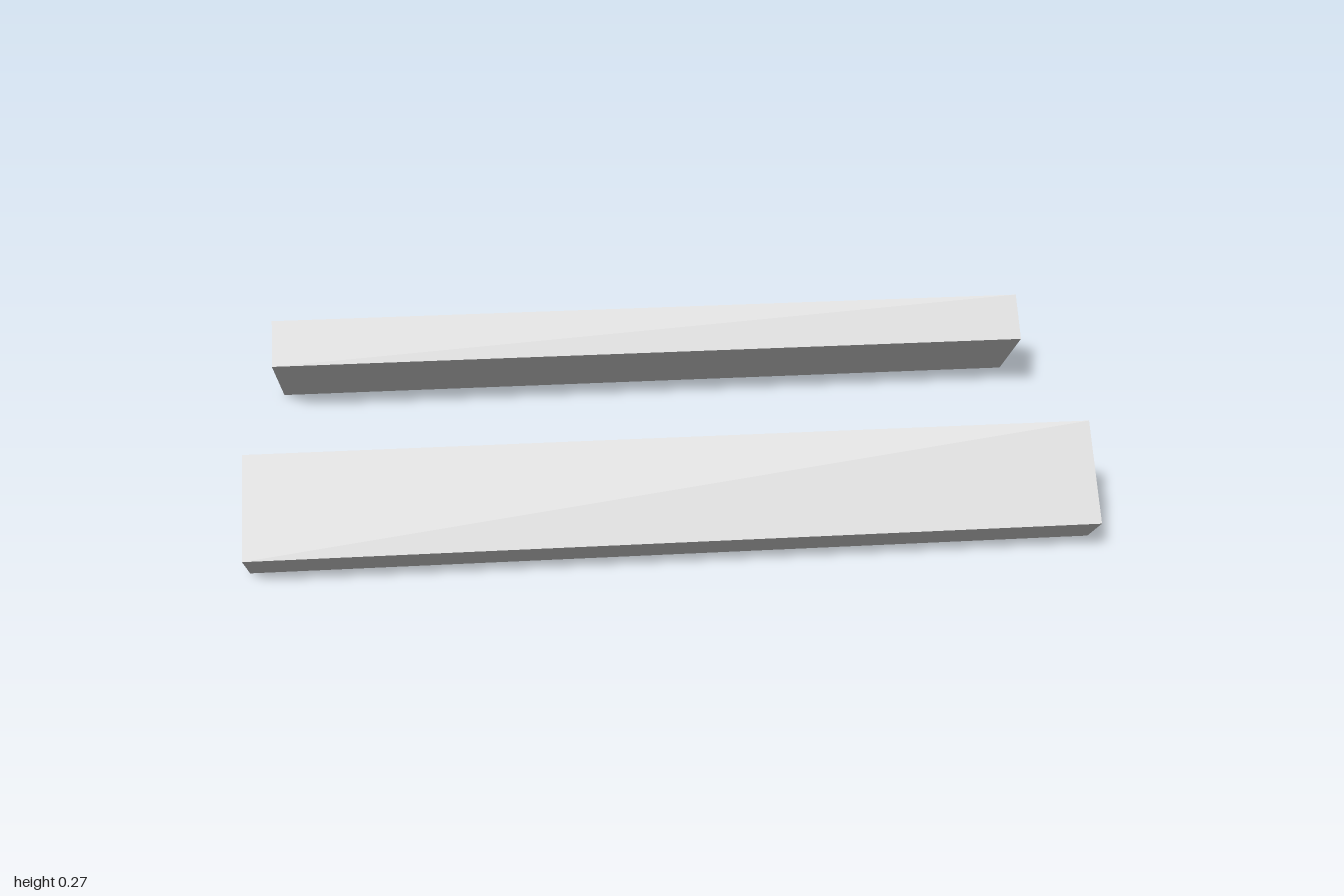
import * as THREE from 'three';

export function createModel() {
  const group = new THREE.Group();
  const material = new THREE.MeshStandardMaterial({ color: 0xcccccc, flatShading: true });
  const thickness = 0.127, width = 0.253;
  const geometry = new THREE.BoxGeometry(2, thickness, width);

  // Two long beams, each tilted 45 degrees so it slopes down and outwards
  for (const [name, side] of [['frontBeam', 1], ['backBeam', -1]]) {
    const beam = new THREE.Mesh(geometry, material);
    beam.name = name;
    beam.rotation.x = side * Math.PI / 4;
    beam.position.set(0, (thickness + width) * Math.SQRT1_2 / 2, side * 0.4);
    group.add(beam);
  }
  return group;
}
